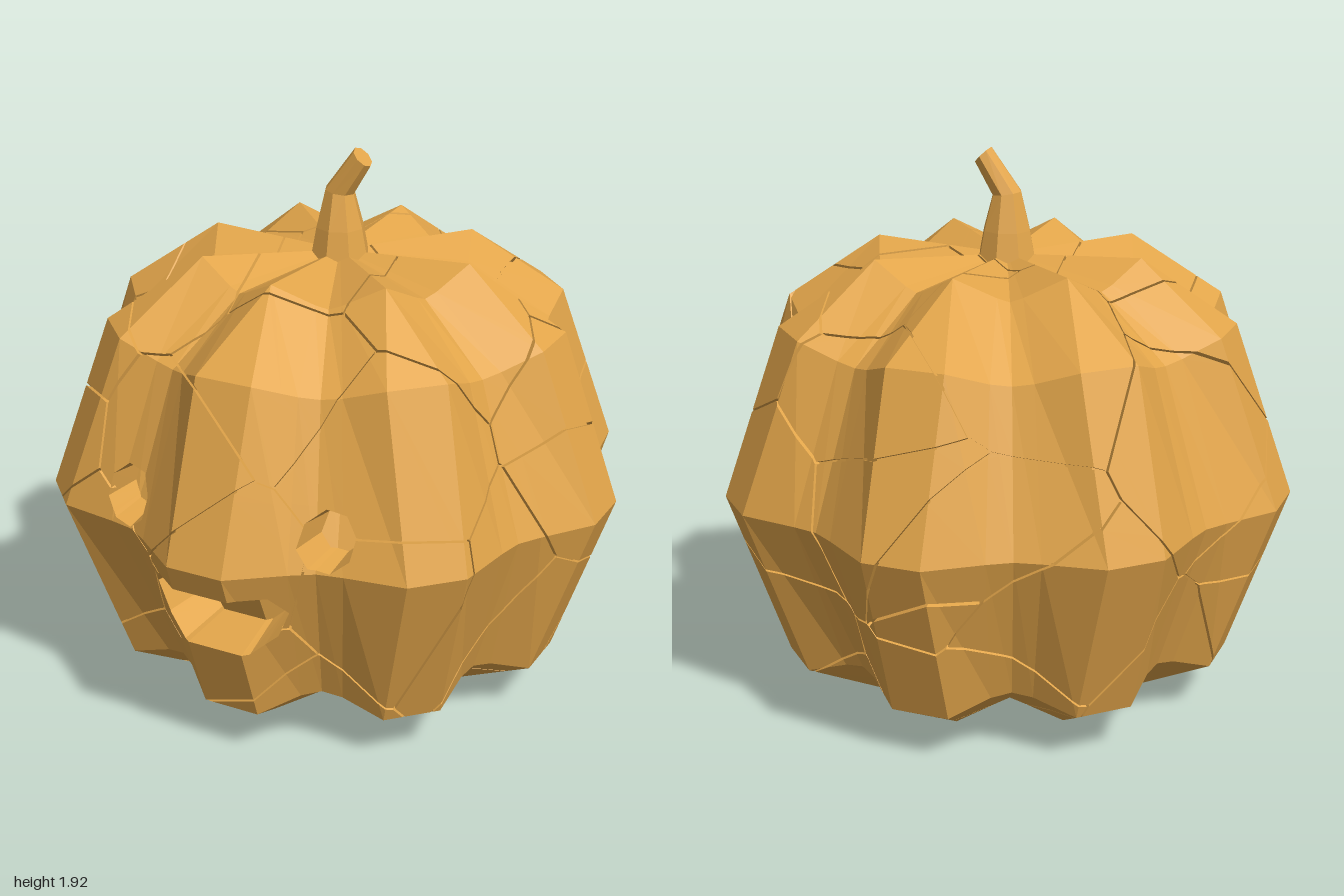
import * as THREE from 'three';

const V = (x, y, z) => new THREE.Vector3(x, y, z);
const CENTER = V(0, 0.785, 0);
const material = new THREE.MeshStandardMaterial({ color: 0xe2a54a, flatShading: true });

// Cut a convex polygon by the plane n.p = d: returns [part below, part above]
function split(poly, { n, d }) {
  const below = [], above = [];
  poly.forEach((a, i) => {
    const b = poly[(i + 1) % poly.length];
    const da = n.dot(a) - d, db = n.dot(b) - d;
    if (da <= 1e-9) below.push(a);
    if (da >= -1e-9) above.push(a);
    if ((da > 1e-9 && db < -1e-9) || (da < -1e-9 && db > 1e-9)) {
      const p = a.clone().lerp(b, da / (da - db));
      below.push(p);
      above.push(p);
    }
  });
  return [below, above].map((p) => (p.length > 2 ? p : null));
}

// Walls along the polygon edges lying on any of the cutting planes
function walls(poly, planes, move, flip) {
  const out = [];
  poly.forEach((a, i) => {
    const b = poly[(i + 1) % poly.length];
    const on = planes.some(({ n, d }) => Math.abs(n.dot(a) - d) < 1e-6 && Math.abs(n.dot(b) - d) < 1e-6);
    if (on) out.push(flip ? [b, a, move(a), move(b)] : [a, b, move(b), move(a)]);
  });
  return out;
}

function meshOf(name, polys) {
  const pos = [];
  for (const p of polys)
    for (let i = 1; i < p.length - 1; i++)
      for (const v of [p[0], p[i], p[i + 1]]) pos.push(v.x, v.y, v.z);
  const g = new THREE.BufferGeometry();
  g.setAttribute('position', new THREE.Float32BufferAttribute(pos, 3));
  g.computeVertexNormals();
  const m = new THREE.Mesh(g, material);
  m.name = name;
  return m;
}

// One ring of the eight-lobed skin: flat ribs with sunken valleys between
function ring([r, y, halfWidth]) {
  const pts = [];
  for (let k = 0; k < 8; k++) {
    const a = (k * Math.PI) / 4;
    const add = (f, l, s) => pts.push(V(
      (Math.sin(a) * f + Math.cos(a) * l) * s,
      CENTER.y + (y - CENTER.y) * (r ? s : 1),
      (Math.cos(a) * f - Math.sin(a) * l) * s));
    add(r, -halfWidth, 1);
    add(r, halfWidth, 1);
    for (const [deg, s] of [[17, 0.915], [22.5, 0.895], [28, 0.915]]) {
      const t = THREE.MathUtils.degToRad(deg);
      add(r * Math.cos(t), r * Math.sin(t), s);
    }
  }
  return pts;
}

function skin() {
  const rings = [[0, 1.555, 0], [0.48, 1.58, 0], [0.79, 1.36, 0.1], [1, 0.785, 0.1],
    [0.79, 0.18, 0.1], [0.48, 0.003, 0], [0, 0.025, 0]].map(ring);
  const tris = [];
  for (let i = 0; i < rings.length - 1; i++)
    for (let j = 0; j < 40; j++) {
      const k = (j + 1) % 40;
      const [a, b, c, d] = [rings[i][j], rings[i + 1][j], rings[i + 1][k], rings[i][k]];
      tris.push([a, b, c], [a, c, d]);
    }
  return tris.filter(([a, b, c]) => b.clone().sub(a).cross(c.clone().sub(a)).length() > 1e-7);
}

// Cutting planes around a convex outline (counter-clockwise), looking along z
const prism = (outline) => outline.map(([x, y], i) => {
  const [u, v] = outline[(i + 1) % outline.length];
  const n = V(v - y, x - u, 0).normalize();
  return { n, d: n.x * x + n.y * y };
});

// Remove a prism from the front of the skin; also returns the removed patch
function carve(polys, planes) {
  const rest = [], patch = [];
  for (const poly of polys) {
    if (poly.some((p) => p.z < 0.2)) { rest.push(poly); continue; }
    let inside = poly;
    for (const plane of planes) {
      if (!inside) break;
      const [below, above] = split(inside, plane);
      if (above) rest.push(above);
      inside = below;
    }
    if (inside) patch.push(inside);
  }
  return { rest, patch };
}

// Break the skin into cells with thin gaps and short walls down into the cracks
function crack(polys) {
  let s = 11;
  const rnd = () => (s = (s * 16807) % 2147483647) / 2147483647;
  const seeds = [];
  for (let i = 0; i < 38; i++) {
    const h = 1 - (2 * (i + 0.5)) / 38, a = i * 2.39996 + rnd() * 0.9, q = Math.sqrt(1 - h * h);
    const r = 0.75 + rnd() * 0.3;
    seeds.push(V(Math.sin(a) * q * r, CENTER.y + (h + rnd() * 0.2 - 0.1) * 0.8, Math.cos(a) * q * r));
  }
  const sink = (p) => p.clone().sub(CENTER).multiplyScalar(0.975).add(CENTER);
  const out = [];
  seeds.forEach((a, i) => {
    const planes = seeds.filter((_, j) => j !== i).map((b) => {
      const n = b.clone().sub(a).normalize();
      return { n, d: n.dot(a.clone().add(b).multiplyScalar(0.5)) - 0.004 };
    });
    for (const poly of polys) {
      let cell = poly;
      for (const plane of planes) if (cell) cell = split(cell, plane)[0];
      if (cell) out.push(cell, ...walls(cell, planes, sink, true));
    }
  });
  return out;
}

function stem() {
  const rows = [[0.085, 1.89, 0.04, 0.78], [0, 1.765, 0.052, 0.15], [0, 1.64, 0.084, 0], [0, 1.53, 0.105, 0]];
  const g = new THREE.CylinderGeometry(1, 1, 1, 8, 3);
  const p = g.attributes.position;
  for (let i = 0; i < p.count; i++) {
    const [cx, y, r, tilt] = rows[Math.round((0.5 - p.getY(i)) * 3)];
    const x = p.getX(i) * r;
    p.setXYZ(i, cx + x * Math.cos(tilt), y - x * Math.sin(tilt), p.getZ(i) * r);
  }
  const flat = g.toNonIndexed();
  flat.computeVertexNormals();
  const m = new THREE.Mesh(flat, material);
  m.name = 'stem';
  return m;
}

export function createModel() {
  const group = new THREE.Group();
  group.name = 'carvedPumpkin';

  const eye = (cx) => Array.from({ length: 8 }, (_, i) => {
    const a = ((i + 0.3) * Math.PI) / 4;
    return [cx + 0.09 * Math.cos(a), 0.885 + 0.098 * Math.sin(a)];
  });
  const mouth = [[0.2, 0.69], [-0.2, 0.69], [-0.245, 0.62], [-0.2, 0.52], [-0.12, 0.455],
    [0.12, 0.455], [0.2, 0.52], [0.245, 0.62]];
  const holes = [
    { name: 'rightEye', outline: eye(-0.37), x: -0.37, y: 0.875, depth: 0.14 },
    { name: 'leftEye', outline: eye(0.365), x: 0.365, y: 0.875, depth: 0.14 },
    { name: 'mouth', outline: mouth, x: 0, y: 0.59, depth: 0.2 },
  ];

  // Crack floor just beneath the skin
  let outer = skin();
  let inner = outer.map((t) => t.map((p) => p.clone().sub(CENTER).multiplyScalar(0.977).add(CENTER)));

  // Recessed eyes and mouth, tapering inwards
  for (const { name, outline, x, y, depth } of holes) {
    const planes = prism(outline);
    const cut = carve(outer, planes);
    outer = cut.rest;
    inner = carve(inner, planes).rest;
    const push = (p) => V(x + (p.x - x) * 0.8, y + (p.y - y) * 0.8, p.z - depth);
    group.add(meshOf(name, cut.patch.flatMap((q) => [q.map(push), ...walls(q, planes, push, false)])));
  }

  group.add(meshOf('crackedSkin', crack(outer)), meshOf('crackFloor', inner), stem());
  return group;
}
